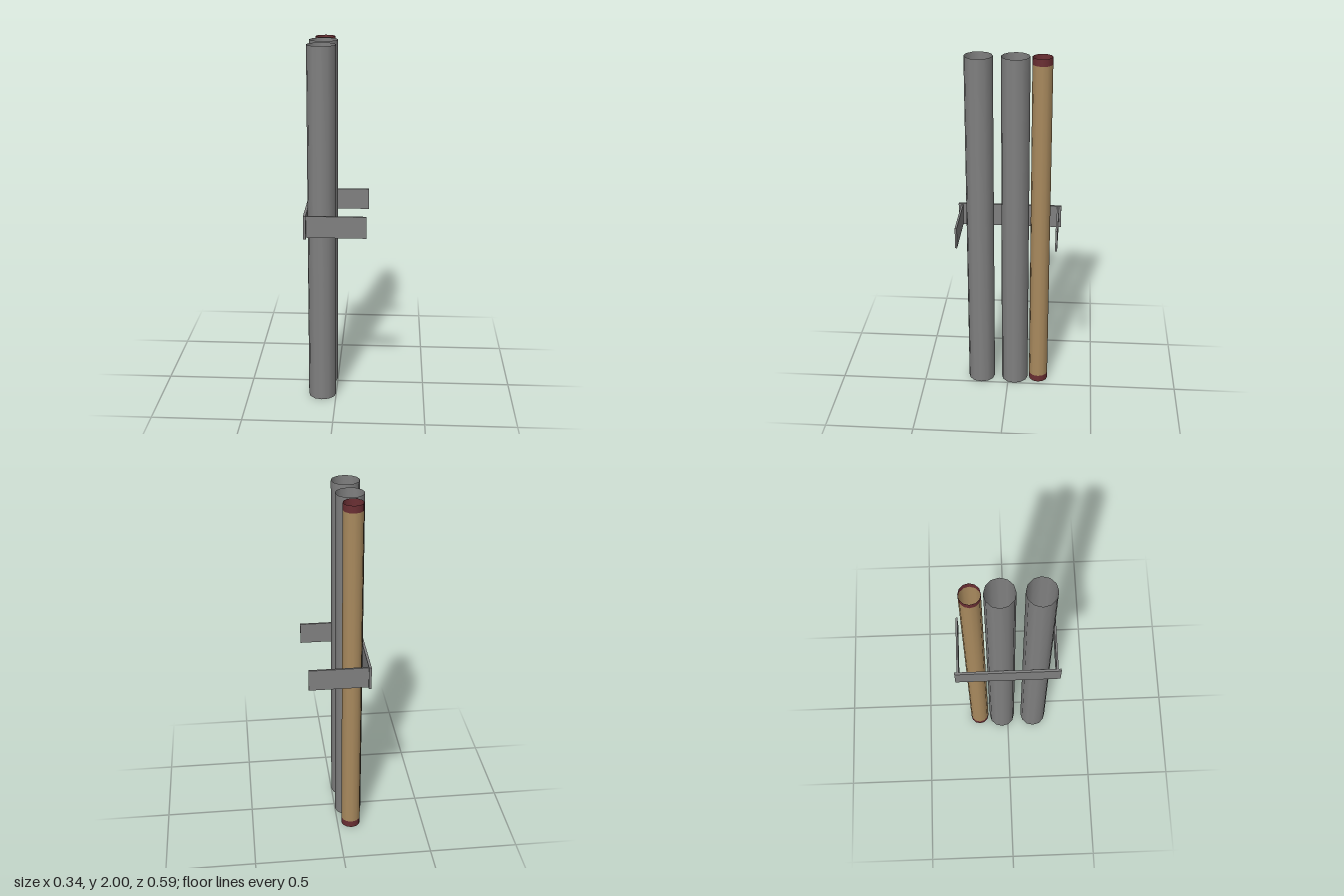
import * as THREE from 'three';

export function createModel() {
  const group = new THREE.Group();
  const material = (name, color, side = THREE.FrontSide) => {
    const m = new THREE.MeshStandardMaterial({ color, side });
    m.name = name;
    return m;
  };
  const grey = material('grey metal', 0x808080, THREE.DoubleSide);
  const tan = material('tan pipe', 0xa98a5e, THREE.DoubleSide);
  const red = material('dark red band', 0x6b2f33, THREE.DoubleSide);

  const add = (name, geometry, mat, x, y, z) => {
    const mesh = new THREE.Mesh(geometry, mat);
    mesh.name = name;
    mesh.position.set(x, y, z);
    group.add(mesh);
  };

  // Thin open pipe between two heights
  const pipeX = -0.078;
  const pipe = (name, radius, y0, y1, z, mat) =>
    add(name, new THREE.CylinderGeometry(radius, radius, y1 - y0, 12, 1, true), mat, pipeX, (y0 + y1) / 2, z);

  // Two wide grey pipes
  pipe('frontPipe', 0.078, 0, 2, 0.162, grey);
  pipe('middlePipe', 0.078, 0, 2, -0.037, grey);

  // Narrow tan pipe with a red band at each end
  const bandHeight = 0.04;
  const narrowZ = -0.18;
  pipe('narrowPipe', 0.055, bandHeight, 2 - bandHeight, narrowZ, tan);
  pipe('bottomBand', 0.055, 0, bandHeight, narrowZ, red);
  pipe('topBand', 0.055, 2 - bandHeight, 2, narrowZ, red);

  // Bracket: mounting plate and two arms
  const bracketY = 1.043;
  add('bracketPlate', new THREE.BoxGeometry(0.014, 0.13, 0.588), grey, -0.163, bracketY, -0.001);
  for (const [name, z] of [['frontArm', 0.272], ['backArm', -0.277]]) {
    add(name, new THREE.BoxGeometry(0.324, 0.12, 0.011), grey, 0.006, bracketY, z);
  }

  return group;
}
